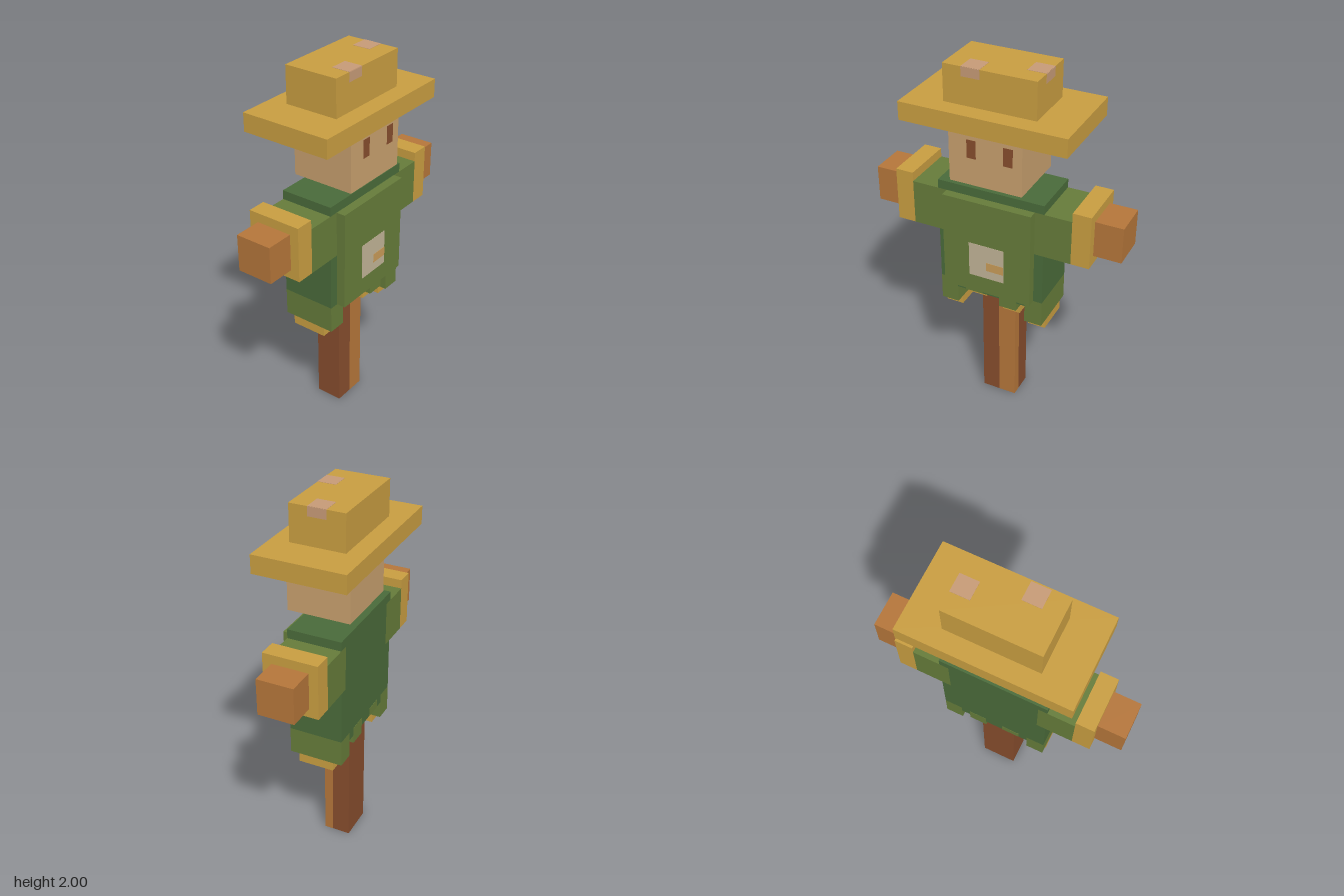
import * as THREE from 'three';

const U = 2 / 41; // one block of the grid

const paint = (name, color) => {
  const m = new THREE.MeshStandardMaterial({ color });
  m.name = name;
  return m;
};

export function createModel() {
  const darkGreen = paint('dark green cloth', 0x4a6b3a);
  const green = paint('green cloth', 0x667c3a);
  const straw = paint('straw', 0xc99e41);
  const sack = paint('sackcloth', 0xc8a06e);
  const hatPatchTan = paint('hat patch tan', 0xc79b77);
  const beige = paint('pocket beige', 0xc2b497);
  const stitch = paint('stitch tan', 0xc99c58);
  const bark = paint('dark wood', 0x874d2d);
  const wood = paint('light wood', 0xb5763a);

  const model = new THREE.Group();
  model.name = 'scarecrow';

  // Box between two corners, measured in blocks
  const block = (name, mat, [x0, x1], [y0, y1], [z0, z1], parent = model) => {
    const geo = new THREE.BoxGeometry((x1 - x0) * U, (y1 - y0) * U, (z1 - z0) * U);
    const mesh = new THREE.Mesh(geo, mat);
    mesh.position.set((x0 + x1) / 2 * U, (y0 + y1) / 2 * U, (z0 + z1) / 2 * U);
    mesh.name = name;
    parent.add(mesh);
    return mesh;
  };
  const T = 0.03; // thickness of painted plates, in blocks

  // Pole and neck
  block('poleLeftBack', bark, [0, 2], [0, 15], [-2, 0]);
  block('poleRight', bark, [-2, 0], [0, 15], [-2, 1]);
  block('poleLeftFront', wood, [0, 2], [0, 15], [0, 1]);
  block('neck', bark, [-2, 2], [28, 29], [-2, 1]);

  // Shirt body with front panel and pocket
  block('shirtBody', darkGreen, [-5, 5], [16, 28], [-3, 3]);
  block('shirtHem', darkGreen, [-4, 4], [15, 16], [-3, 3]);
  block('frontPanel', green, [-5, 5], [16, 27], [3, 4]);
  block('pocket', beige, [-2, 2], [18, 22], [4, 4 + T]);
  block('pocketStitch', stitch, [0, 2], [19, 20], [4 + T, 4 + 2 * T]);

  // Sides, arms and side tatters, the same on both sides
  for (const s of [-1, 1]) {
    const side = new THREE.Group();
    side.name = s > 0 ? 'leftSide' : 'rightSide';
    model.add(side);
    const span = (a, b) => (s > 0 ? [a, b] : [-b, -a]);
    block('shoulder', darkGreen, span(5, 6), [27, 28], [-3, 3], side);
    block('shirtSide', darkGreen, span(5, 6), [16, 22], [-3, 3], side);
    block('sleeve', green, span(5, 9), [22, 27], [-3, 3], side);
    block('strawCuff', straw, span(9, 11), [22, 28], [-3, 3], side);
    block('armEnd', wood, span(11, 14), [23, 27], [-2, 2], side);
    block('sideTatter', green, span(4, 6), [13, 16], [-3, 3], side);
    block('sideStraw', straw, span(4, 6), [12, 13], [-2, 2], side);
  }

  // Tatters in the middle of the hem, with straw poking out below
  for (const [x0, x1, low, inner] of [[-3, -1, 15, [-3, -2]], [1, 3, 14, [2, 3]]]) {
    for (const [z0, z1, out] of [[2, 3, 1], [-3, -2, -1]]) {
      const face = out > 0 ? [3, 3 + T] : [-3 - T, -3];
      block('hemPatch', green, [x0, x1], [15, 16], face);
      if (low < 15) block('hemTatter', green, [x0, x1], [low, 15], [z0, z1]);
    }
    block('frontStraw', straw, [x0, x1], [low - 1, 15], [1, 2]);
    block('backStraw', straw, inner, [low - 1, 15], [-2, 1]);
  }

  // Head and eyes
  block('head', sack, [-4, 4], [29, 35], [-3, 4]);
  block('rightEye', bark, [-2, -1], [32, 34], [4, 4 + T]);
  block('leftEye', bark, [2, 3], [32, 34], [4, 4 + T]);

  // Hat with two worn corners
  block('hatBrim', straw, [-9, 9], [35, 37], [-5, 5]);
  block('hatCrown', straw, [-5, 5], [37, 41], [-3, 3]);
  block('hatPatchFront', hatPatchTan, [-3, -1], [40, 41], [3, 3 + T]);
  block('hatPatchFrontTop', hatPatchTan, [-3, -1], [41, 41 + T], [1, 3]);
  block('hatPatchSide', hatPatchTan, [5, 5 + T], [40, 41], [-1, 1]);
  block('hatPatchSideTop', hatPatchTan, [3, 5], [41, 41 + T], [-1, 1]);

  return model;
}
